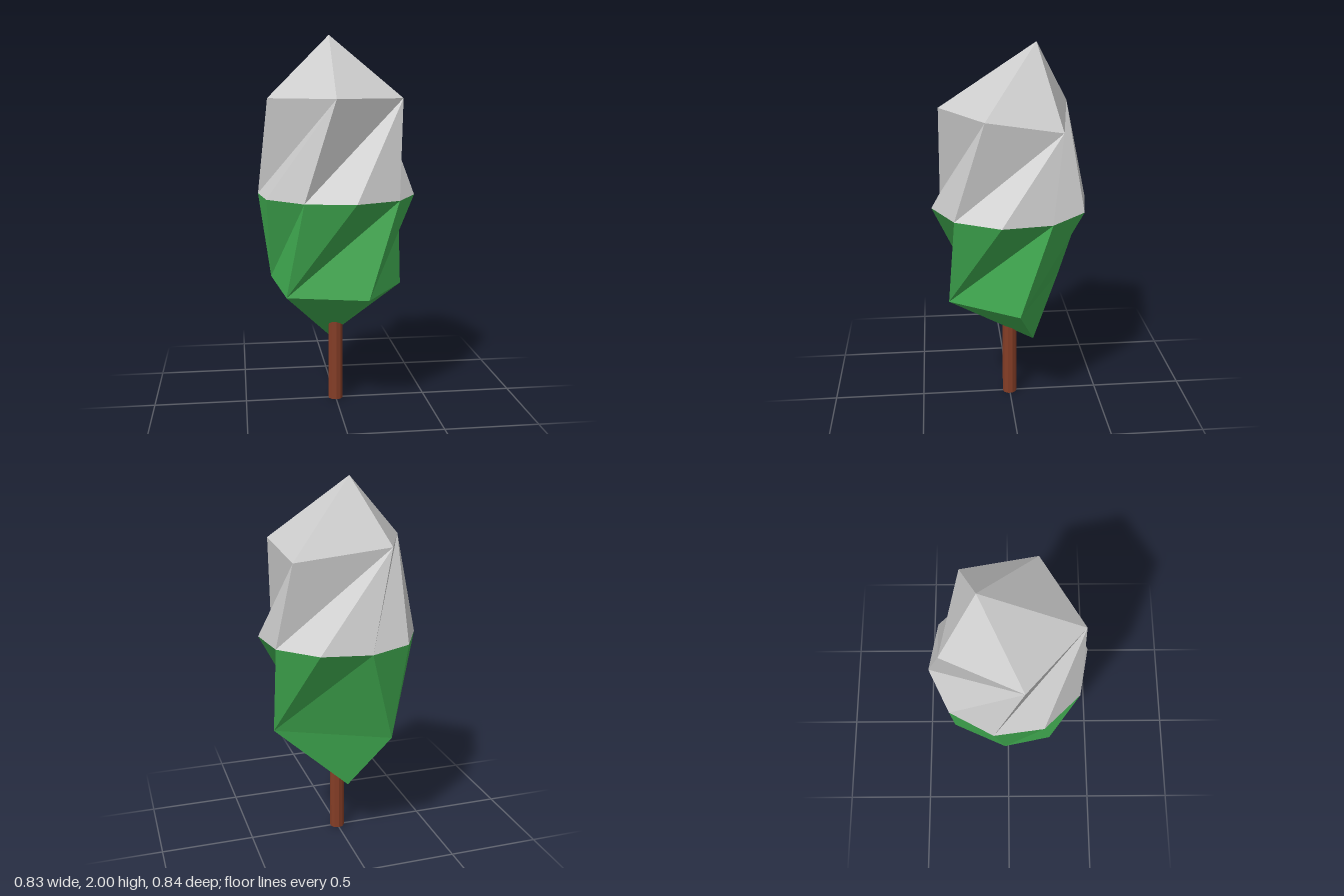
import * as THREE from 'three';

const MID_Y = 1.155;

// Corner k of the ten-sided ring where the two canopy halves meet
function mid(k) {
  const a = THREE.MathUtils.degToRad(10.4 + 36 * k);
  return [0.422 * Math.cos(a), MID_Y, 0.422 * Math.sin(a)];
}

// One twisted half: a five-pointed fan to the tip, then a band down to the shared ring.
// Each ring point spans two sides of the shared ring, walked from `start` in steps of `dir`.
function canopyHalf(name, color, tip, ring, start, dir) {
  const m = (j) => mid(start + dir * j);
  const verts = [];
  const tri = (...corners) => corners.forEach((c) => verts.push(...c));
  ring.forEach((p, i) => {
    const next = ring[(i + 1) % ring.length];
    const j = 2 * i;
    tri(tip, next, p);
    tri(p, next, m(j + 2));
    tri(p, m(j + 1), m(j));
    tri(p, m(j + 2), m(j + 1));
  });
  const geo = new THREE.BufferGeometry();
  geo.setAttribute('position', new THREE.Float32BufferAttribute(verts, 3));
  geo.computeVertexNormals();
  const mesh = new THREE.Mesh(geo, new THREE.MeshStandardMaterial({ color, flatShading: true }));
  mesh.name = name;
  return mesh;
}

export function createModel() {
  const tree = new THREE.Group();
  tree.name = 'tree';

  // Trunk, its top hidden inside the canopy
  const trunk = new THREE.Mesh(
    new THREE.CylinderGeometry(0.04, 0.04, 0.56, 10),
    new THREE.MeshStandardMaterial({ color: 0x843d26, flatShading: true })
  );
  trunk.position.y = 0.28;
  trunk.name = 'trunk';
  tree.add(trunk);

  // Upper canopy
  tree.add(canopyHalf('upperCanopy', 0xcccccc, [-0.02, 2, -0.138], [
    [0.335, 1.667, 0.15],
    [-0.04, 1.667, 0.368],
    [-0.365, 1.667, 0.075],
    [-0.185, 1.667, -0.325],
    [0.3, 1.6, -0.24],
  ], 1, 1));

  // Lower canopy, twisting the other way round the ring
  tree.add(canopyHalf('lowerCanopy', 0x3fa94f, [-0.02, 0.32, -0.138], [
    [-0.285, 0.645, 0.233],
    [0.132, 0.645, 0.34],
    [0.365, 0.645, -0.023],
    [-0.208, 0.645, -0.305],
    [-0.352, 0.705, -0.02],
  ], 3, -1));

  return tree;
}
